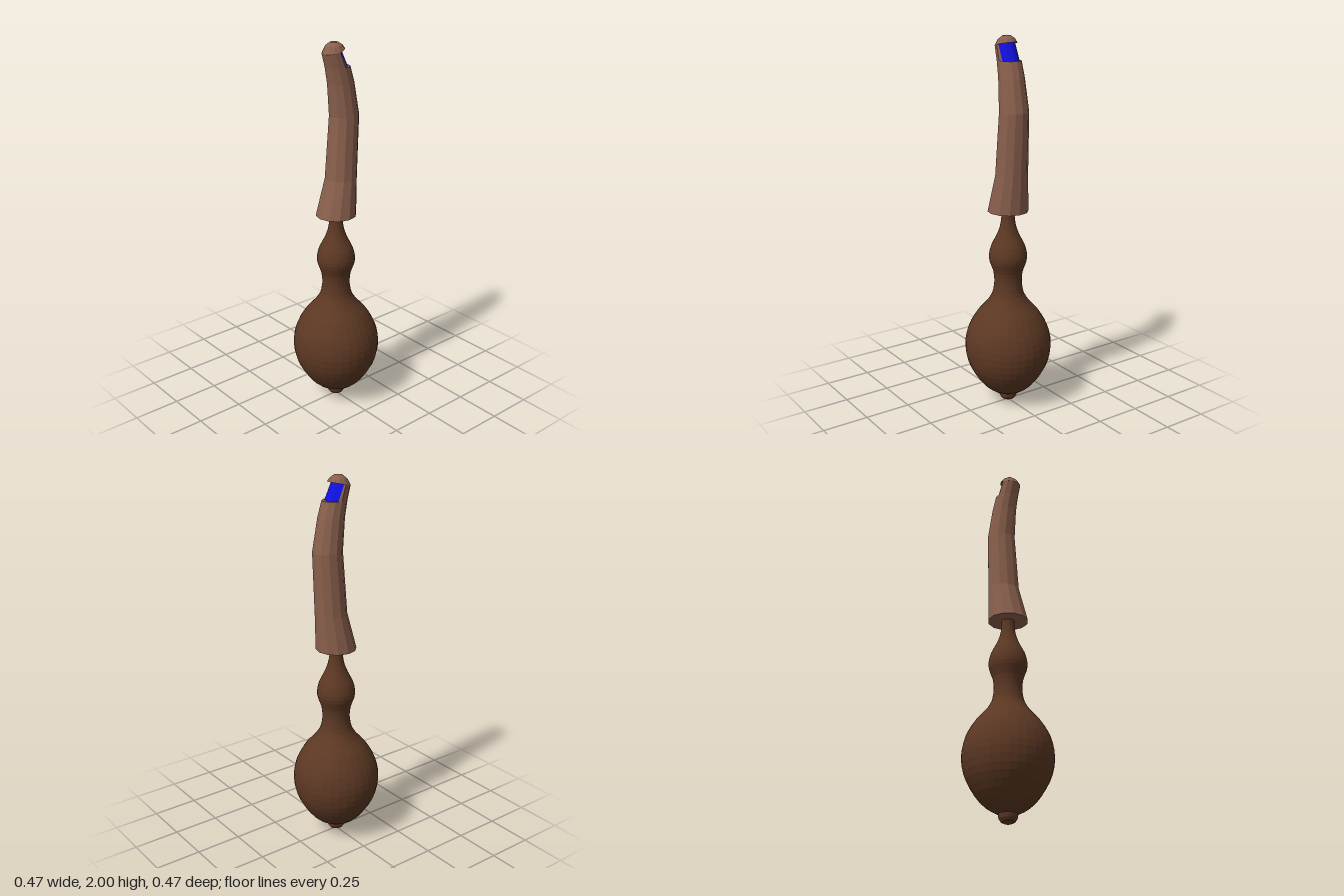
import * as THREE from 'three';

const SIDES = 12;
const wood = new THREE.MeshStandardMaterial({ color: 0x5c3823, flatShading: true });
wood.name = 'dark wood';
const skin = new THREE.MeshStandardMaterial({ color: 0x8a604d, flatShading: true });
skin.name = 'skin brown';
const blue = new THREE.MeshStandardMaterial({ color: 0x1010e0, flatShading: true });
blue.name = 'nail blue';

// One cross-section: centre x, height, radii, tilt, and nail-bed inset on the +x side
function ring([cx, y, rx, rz, tilt = 0, inset = 0]) {
  return Array.from({ length: SIDES }, (_, i) => {
    const a = (i / SIDES) * Math.PI * 2;
    const c = Math.cos(a);
    return [cx + rx * c - (c > 0.49 ? inset : 0), y + tilt * c, rz * Math.sin(a)];
  });
}

// Skin the cross-sections, keeping only the quads that pass the filter
function loft(sections, keep) {
  const rings = sections.map(ring);
  const pos = [];
  for (let r = 0; r < rings.length - 1; r++) {
    for (let i = 0; i < SIDES; i++) {
      if (!keep(r, i)) continue;
      const j = (i + 1) % SIDES;
      const [a, b, c, d] = [rings[r][i], rings[r + 1][i], rings[r + 1][j], rings[r][j]];
      pos.push(...a, ...b, ...d, ...b, ...c, ...d);
    }
  }
  const geo = new THREE.BufferGeometry();
  geo.setAttribute('position', new THREE.Float32BufferAttribute(pos, 3));
  geo.computeVertexNormals();
  return geo;
}

function add(group, name, geo, mat) {
  const mesh = new THREE.Mesh(geo, mat);
  mesh.name = name;
  group.add(mesh);
}

export function createModel() {
  const model = new THREE.Group();
  model.name = 'fingerWand';

  // Turned handle
  const profile = [
    [0.05, 0.05], [0.09, 0.07], [0.14, 0.11], [0.19, 0.18], [0.222, 0.25], [0.235, 0.33],
    [0.227, 0.4], [0.205, 0.46], [0.165, 0.525], [0.12, 0.575], [0.088, 0.625], [0.077, 0.67],
    [0.074, 0.71], [0.08, 0.76], [0.098, 0.81], [0.102, 0.85], [0.09, 0.9], [0.065, 0.95],
    [0.045, 1.0], [0.036, 1.05], [0.034, 1.1],
  ].map(([x, y]) => new THREE.Vector2(x, y));
  const curve = new THREE.SplineCurve(profile);
  add(model, 'handle', new THREE.LatheGeometry(curve.getPoints(40), 32), wood);

  // Small end knob
  const knob = [[0, 0], [0.02, 0.003], [0.037, 0.012], [0.047, 0.028], [0.05, 0.046], [0.045, 0.06]]
    .map(([x, y]) => new THREE.Vector2(x, y));
  add(model, 'endKnob', new THREE.LatheGeometry(knob, 16), wood);

  // Bent finger with a recessed nail bed
  const sections = [
    [0, 1.09, 0, 0],
    [0, 1.09, 0.108, 0.108],
    [0.033, 1.29, 0.084, 0.086],
    [0.054, 1.62, 0.079, 0.076],
    [0.031, 1.79, 0.071, 0.066],
    [0.01, 1.875, 0.067, 0.061],
    [0.01, 1.875, 0.067, 0.061, 0, 0.018],
    [-0.017, 1.954, 0.059, 0.057, 0.012, 0.026],
    [-0.017, 1.955, 0.059, 0.057, 0.012],
    [-0.015, 1.98, 0.044, 0.044, 0.004],
    [-0.013, 1.997, 0.021, 0.021],
    [-0.013, 2.0, 0, 0],
  ];
  const isNail = (r, i) => r === 6 && (i < 2 || i > 9);
  add(model, 'finger', loft(sections, (r, i) => !isNail(r, i)), skin);
  add(model, 'fingernail', loft(sections, isNail), blue);
  return model;
}
